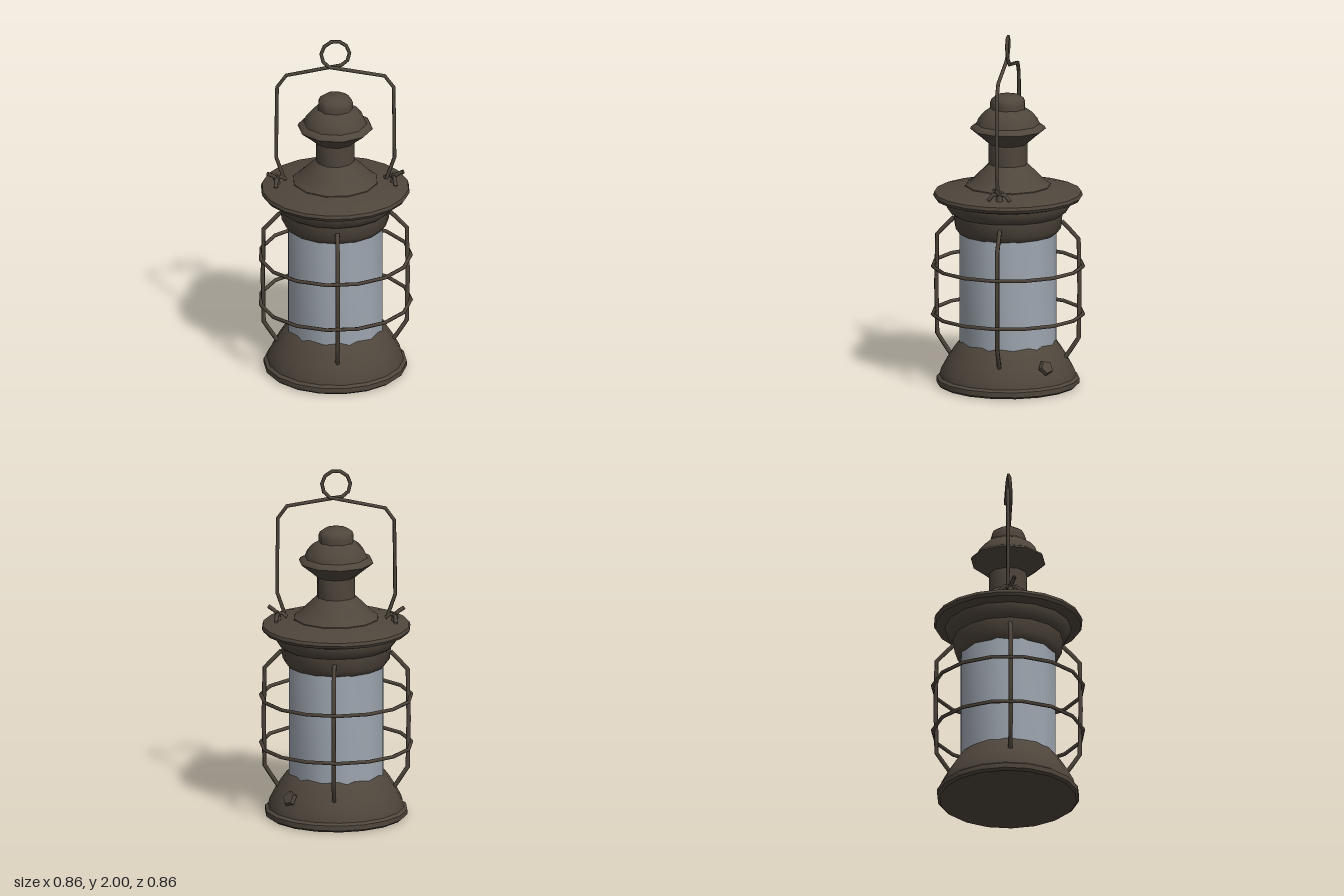
import * as THREE from 'three';
import { toCreasedNormals } from 'three/addons/utils/BufferGeometryUtils.js';

const metal = new THREE.MeshStandardMaterial({ color: 0x4f463c, side: THREE.DoubleSide });
const glass = new THREE.MeshStandardMaterial({ color: 0x9ea6b0, side: THREE.DoubleSide });

// Straight-sided path whose tube rings sit exactly on the corners
class Polyline extends THREE.Curve {
  constructor(points) {
    super();
    this.points = points.map((p) => new THREE.Vector3(...p));
  }
  getPoint(t, target = new THREE.Vector3()) {
    const n = this.points.length - 1;
    const i = Math.min(Math.floor(t * n + 1e-9), n - 1);
    return target.lerpVectors(this.points[i], this.points[i + 1], t * n - i);
  }
  getPointAt(u, target) {
    return this.getPoint(u, target);
  }
  getTangentAt(u, target = new THREE.Vector3()) {
    const p = this.points;
    const i = Math.round(u * (p.length - 1));
    target.set(0, 0, 0);
    if (i > 0) target.add(p[i].clone().sub(p[i - 1]).normalize());
    if (i < p.length - 1) target.add(p[i + 1].clone().sub(p[i]).normalize());
    return target.normalize();
  }
}

function add(parent, name, geometry, material = metal) {
  const mesh = new THREE.Mesh(geometry, material);
  mesh.name = name;
  parent.add(mesh);
  return mesh;
}

function turned(parent, name, sides, profile, material) {
  const points = profile.map(([r, y]) => new THREE.Vector2(r, y));
  return add(parent, name, toCreasedNormals(new THREE.LatheGeometry(points, sides), 0.7), material);
}

function wire(parent, name, points, radius = 0.011) {
  return add(parent, name, new THREE.TubeGeometry(new Polyline(points), points.length - 1, radius, 5));
}

export function createModel() {
  const model = new THREE.Group();
  model.name = 'lantern';

  // Body, from the base up to the chimney cap
  turned(model, 'base', 18, [
    [0, 0.02], [0.34, 0.01], [0.385, 0], [0.4, 0.012], [0.4, 0.04], [0.382, 0.052],
    [0.375, 0.085], [0.34, 0.15], [0.305, 0.205], [0.28, 0.24], [0.255, 0.265], [0.2, 0.27],
  ]);
  turned(model, 'glassCylinder', 12, [[0.272, 0.24], [0.272, 0.89]], glass);
  turned(model, 'collar', 16, [
    [0.25, 0.86], [0.275, 0.872], [0.3, 0.905], [0.308, 0.98], [0.325, 0.992], [0.35, 1.03], [0.355, 1.06],
  ]);
  turned(model, 'brim', 20, [
    [0.33, 1.05], [0.365, 1.055], [0.408, 1.068], [0.418, 1.085], [0.412, 1.103],
    [0.33, 1.122], [0.24, 1.14], [0.1, 1.15],
  ]);
  turned(model, 'roof', 12, [
    [0.245, 1.125], [0.24, 1.145], [0.215, 1.16], [0.185, 1.19], [0.145, 1.23], [0.108, 1.265],
  ]);
  turned(model, 'chimney', 10, [[0.108, 1.25], [0.108, 1.385]]);
  turned(model, 'hood', 10, [
    [0.1, 1.375], [0.115, 1.385], [0.15, 1.415], [0.2, 1.455], [0.212, 1.465], [0.205, 1.478],
    [0.178, 1.492], [0.165, 1.525], [0.135, 1.56], [0.1, 1.582], [0, 1.59],
  ]);
  turned(model, 'chimneyCap', 9, [
    [0.1, 1.57], [0.1, 1.615], [0.092, 1.635], [0.065, 1.655], [0, 1.658],
  ]);

  // Guard cage: two rings and four bent rods on the diagonals
  const cage = new THREE.Group();
  cage.name = 'guardCage';
  model.add(cage);
  for (const y of [0.41, 0.685]) {
    const ring = add(cage, 'guardRing', new THREE.TorusGeometry(0.423, 0.011, 5, 15));
    ring.rotation.x = Math.PI / 2;
    ring.position.y = y;
  }
  for (let i = 0; i < 4; i++) {
    const rod = wire(cage, 'guardRod', [
      [0.305, 0.945, 0], [0.345, 0.905, 0], [0.4, 0.845, 0],
      [0.405, 0.56, 0], [0.4, 0.28, 0], [0.365, 0.225, 0], [0.325, 0.165, 0],
    ], 0.013);
    rod.rotation.y = Math.PI / 4 + (i * Math.PI) / 2;
  }

  // Wick knob on the sloping side of the base
  const knob = new THREE.Group();
  knob.name = 'wickKnob';
  knob.position.set(0.335, 0.145, 0);
  knob.rotation.z = -Math.PI / 3;
  model.add(knob);
  add(knob, 'knobStem', new THREE.CylinderGeometry(0.018, 0.018, 0.05, 5));
  add(knob, 'knobHead', toCreasedNormals(new THREE.CylinderGeometry(0.038, 0.045, 0.024, 5), 0.5))
    .position.y = 0.027;

  // Carrying handle, set on the diagonal, with a finger loop twisted into the top
  const handle = new THREE.Group();
  handle.name = 'handle';
  handle.rotation.y = -Math.PI / 4;
  model.add(handle);
  const side = [
    [0.285, 1.15], [0.33, 1.28], [0.328, 1.5], [0.325, 1.71], [0.275, 1.78], [0.05, 1.822],
  ];
  const loop = [];
  for (let i = 0; i <= 9; i++) {
    const a = THREE.MathUtils.degToRad(-65 + (i * 310) / 9);
    loop.push([0.08 * Math.cos(a), 1.91 + 0.08 * Math.sin(a), -0.014 + (0.028 * i) / 9]);
  }
  wire(handle, 'handleWire', [
    ...side.map(([x, y]) => [-x, y, -0.014]),
    ...loop,
    ...side.map(([x, y]) => [x, y, 0.014]).reverse(),
  ]);

  // Four-bladed clips holding the handle ends to the brim
  for (const s of [-1, 1]) {
    const clip = new THREE.Group();
    clip.name = 'handleClip';
    clip.position.set(s * 0.325, 1.145, 0);
    handle.add(clip);
    add(clip, 'clipHub', new THREE.CylinderGeometry(0.014, 0.02, 0.05, 6));
    const blades = [[0.055, 0.05, 0.022], [0.01, -0.02, 0.062], [0.01, -0.02, -0.062], [-0.05, 0, -0.015]];
    for (const [x, y, z] of blades) {
      wire(clip, 'clipBlade', [
        [0, 0.01, 0], [s * x * 0.5, 0.02 + y * 0.3, z * 0.5], [s * x, y, z],
      ], 0.012);
    }
  }

  return model;
}
